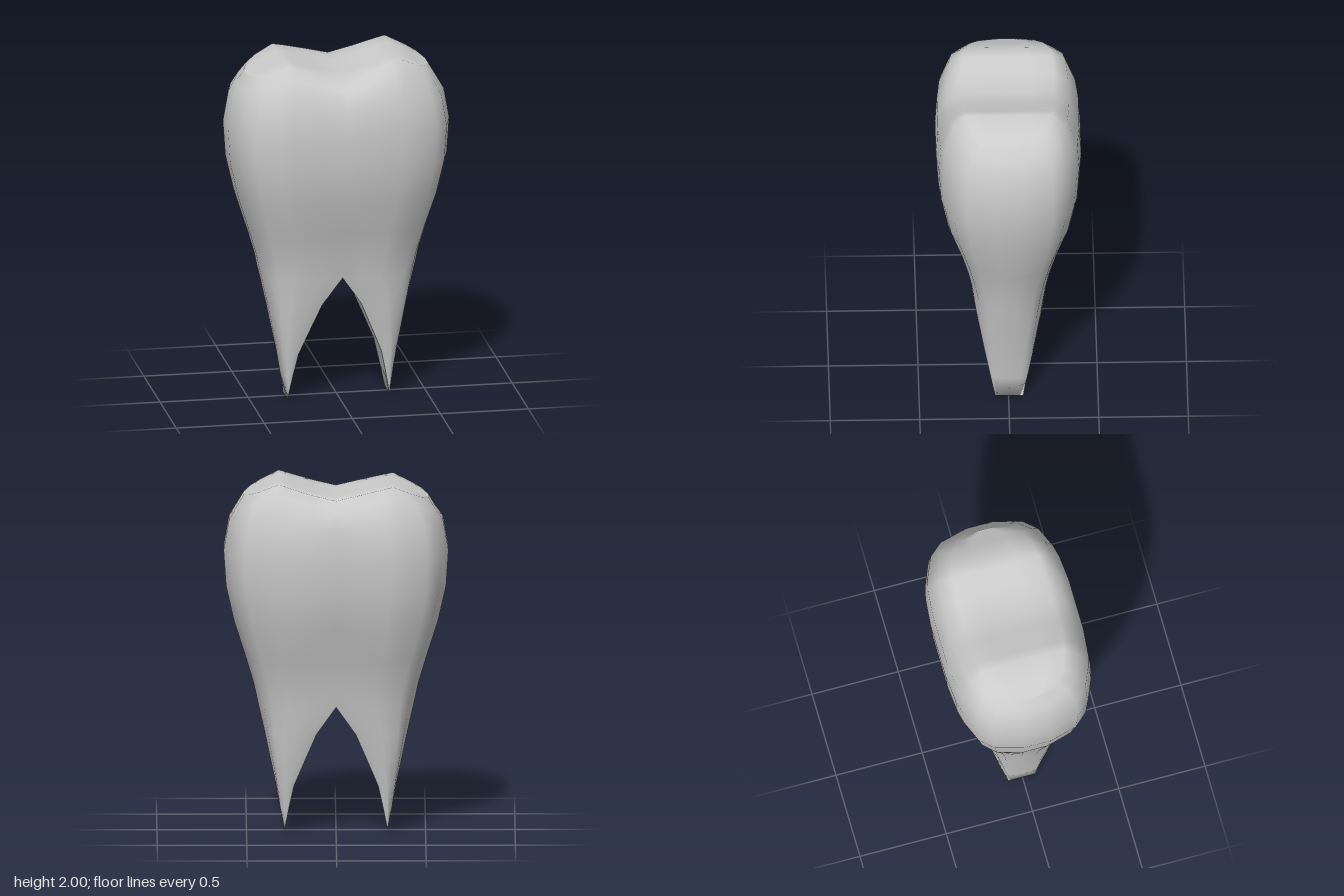
import * as THREE from 'three';
import { mergeVertices } from 'three/addons/utils/BufferGeometryUtils.js';

// Half of the rounded-rectangle plan: u runs outwards, v runs front to back
const quarter = [[0, 1], [0.25, 1], [0.5, 0.965], [0.62, 0.92], [0.82, 0.79], [0.93, 0.6], [1, 0.2]];
const plan = [...quarter, ...[...quarter].reverse().map(([u, v]) => [u, -v])];

// Rows: height, inner x, outer x, half depth, groove towards the inner side
const rootRows = [
  [0, 0.29, 0.29, 0.08, 0],
  [0.14, 0.263, 0.316, 0.108, 0.06],
  [0.27, 0.235, 0.337, 0.133, 0.1],
  [0.42, 0.173, 0.369, 0.162, 0.1],
  [0.57, 0.11, 0.4, 0.19, 0.08],
  [0.73, 0, 0.436, 0.218, 0.06],
];
const crownRows = [
  rootRows[5],
  [0.85, 0, 0.462, 0.243, 0.05],
  [1.0, 0, 0.507, 0.285, 0.04],
  [1.2, 0, 0.57, 0.353, 0.02],
  [1.4, 0, 0.615, 0.393, 0],
  [1.6, 0, 0.628, 0.406, 0],
  [1.77, 0, 0.598, 0.395, 0],
];

// Chewing-surface height: a central valley between two ridges
function cusp(x, side) {
  const peak = side > 0 ? 2.0 : 1.985;
  if (x < 0.16) return 1.91 + (x / 0.16) * 0.038;
  if (x < 0.32) return 1.948 + ((x - 0.16) / 0.16) * (peak - 1.948);
  return peak - (x - 0.32) * 0.45;
}

function section([y, inner, outer, depth, groove]) {
  return plan.map(([u, v]) => {
    const dent = 1 - groove * Math.max(0, 1 - u / 0.5);
    return [inner + (outer - inner) * u, y, v * depth * dent - 0.003];
  });
}

// Inner wall of a root, running back to front across the section's opening
function innerWall(row) {
  const ring = section(row);
  const front = ring[0][2], back = ring[ring.length - 1][2];
  return plan.map(([, v]) => [row[1], row[0], back + (front - back) * (v + 1) / 2]).reverse();
}

function rim(side, width, depth, drop) {
  return plan.map(([u, v]) => [u * width, cusp(u * width, side) - drop, v * depth - 0.003]);
}

function createTooth() {
  const positions = [];
  // Joins successive rows of points with quads, mirrored for the -x side
  function loft(rows, side) {
    const put = (...tri) => {
      if (side < 0) tri.reverse();
      for (const [x, y, z] of tri) positions.push(x * side, y, z);
    };
    for (let r = 0; r + 1 < rows.length; r++) {
      const a = rows[r], b = rows[r + 1];
      for (let i = 0; i + 1 < a.length; i++) {
        put(a[i], a[i + 1], b[i + 1]);
        put(a[i], b[i + 1], b[i]);
      }
    }
  }

  for (const side of [1, -1]) {
    // Roots: rounded outside and the wall facing the arch
    loft(rootRows.map(section), side);
    loft(rootRows.map(innerWall), side);

    // Crown sides and rounded rim
    const edge = rim(side, 0.515, 0.26, 0);
    loft([...crownRows.map(section), rim(side, 0.555, 0.338, 0.05), edge], side);

    // Chewing surface, from the front edge to the back edge
    const n = quarter.length, steps = 4, top = [];
    for (let k = 0; k <= steps; k++) {
      top.push(edge.slice(0, n).map(([x, y, z], i) => {
        const back = edge[edge.length - 1 - i][2];
        return [x, y, z + (back - z) * k / steps];
      }));
    }
    loft(top, side);
  }

  // Shared vertices give one smooth surface across all parts
  let geometry = new THREE.BufferGeometry();
  geometry.setAttribute('position', new THREE.Float32BufferAttribute(positions, 3));
  geometry = mergeVertices(geometry, 1e-4);
  geometry.computeVertexNormals();
  return geometry;
}

export function createModel() {
  const group = new THREE.Group();
  group.name = 'molar';
  const tooth = new THREE.Mesh(createTooth(), new THREE.MeshStandardMaterial({ color: 0xcccccc }));
  tooth.name = 'crownAndRoots';
  group.add(tooth);
  return group;
}
